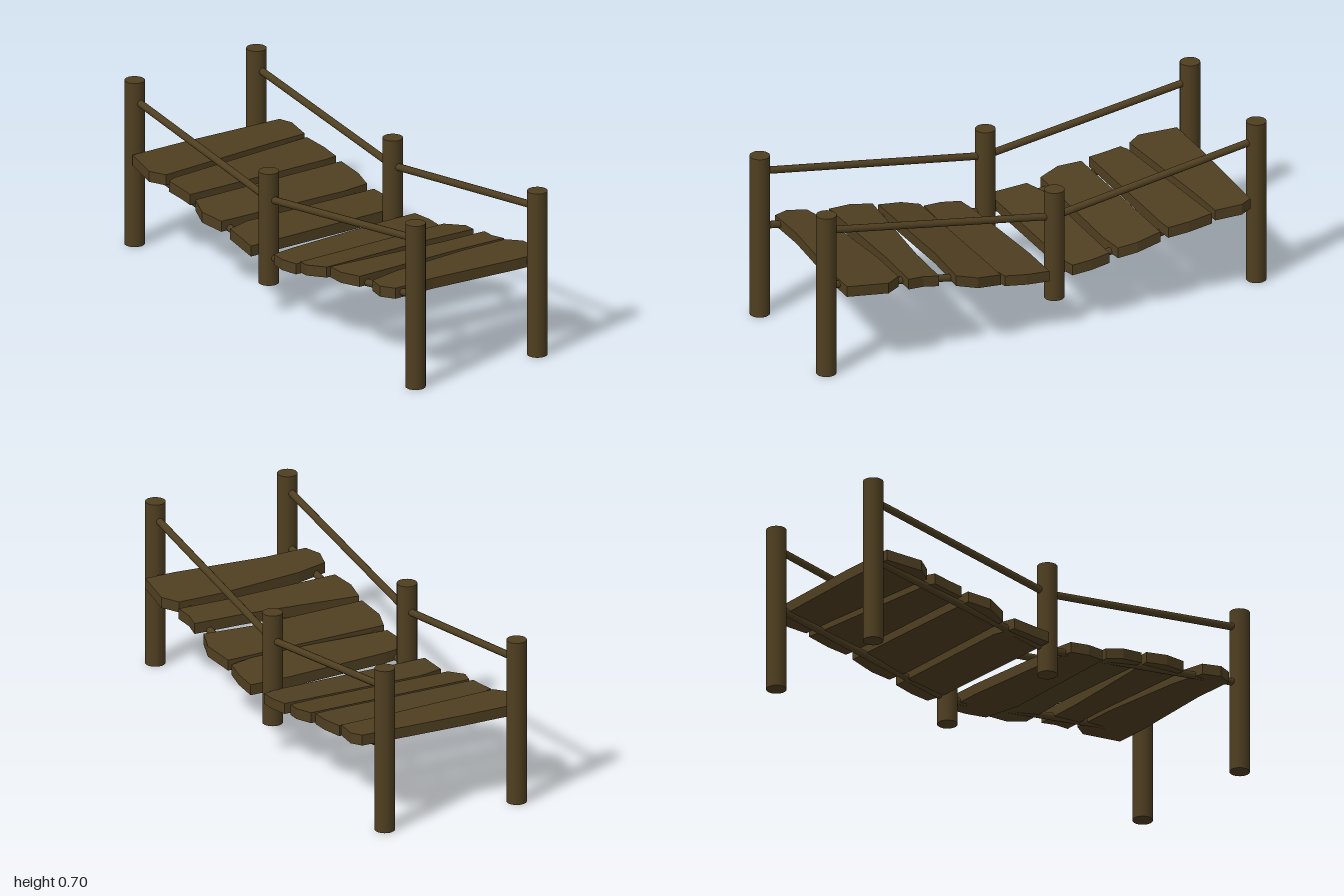
import * as THREE from 'three';

const wood = new THREE.MeshStandardMaterial({ color: 0x4f3f21, roughness: 0.9 });

// Post positions, left to right, for the back and front rows
const rows = {
  back: [[-0.96, -0.28], [-0.055, -0.305], [0.95, -0.30]],
  front: [[-0.955, 0.317], [-0.045, 0.306], [0.956, 0.298]],
};

// Planks: outline as [x, z] corners, then top height at the left and right edge
const planks = [
  { top: [0.4, 0.382], outline: [[-0.9, -0.35], [-0.85, -0.375], [-0.74, -0.36], [-0.735, -0.2], [-0.7, 0.345], [-0.76, 0.385], [-0.915, 0.355], [-0.915, 0.1]] },
  { top: [0.375, 0.355], outline: [[-0.725, -0.36], [-0.62, -0.37], [-0.53, -0.365], [-0.525, -0.3], [-0.525, 0.35], [-0.59, 0.35], [-0.665, 0.355], [-0.68, 0.32], [-0.72, -0.28]] },
  { top: [0.345, 0.308], outline: [[-0.495, -0.365], [-0.39, -0.375], [-0.31, -0.36], [-0.3, -0.24], [-0.31, 0.35], [-0.4, 0.38], [-0.49, 0.35]] },
  { top: [0.3, 0.28], outline: [[-0.27, -0.365], [-0.185, -0.375], [-0.105, -0.37], [-0.09, -0.3], [-0.085, 0.365], [-0.25, 0.35], [-0.275, 0.25]] },
  { top: [0.28, 0.295], outline: [[0, -0.375], [0.1, -0.375], [0.19, -0.36], [0.225, -0.2], [0.205, 0.35], [0.125, 0.36], [0.045, 0.345], [0.03, 0.25], [0, -0.2]] },
  { top: [0.305, 0.345], outline: [[0.21, -0.365], [0.325, -0.395], [0.41, -0.37], [0.395, -0.15], [0.41, 0.345], [0.3, 0.365], [0.225, 0.345]] },
  { top: [0.355, 0.375], outline: [[0.485, -0.37], [0.55, -0.36], [0.62, -0.37], [0.615, -0.15], [0.63, 0.34], [0.53, 0.36], [0.435, 0.345], [0.48, -0.15]] },
  { top: [0.385, 0.402], outline: [[0.655, -0.35], [0.72, -0.395], [0.895, -0.375], [0.895, -0.24], [0.865, 0.15], [0.87, 0.335], [0.805, 0.365], [0.725, 0.345], [0.69, 0.21], [0.655, -0.15]] },
];
const thickness = 0.045;

function addMesh(parent, geometry, name) {
  const mesh = new THREE.Mesh(geometry, wood);
  mesh.name = name;
  parent.add(mesh);
  return mesh;
}

// Round pole between two points
function addPole(parent, a, b, radius, sides, name) {
  const dir = b.clone().sub(a);
  const mesh = addMesh(parent, new THREE.CylinderGeometry(radius, radius, dir.length(), sides), name);
  mesh.position.copy(a).add(b).multiplyScalar(0.5);
  mesh.quaternion.setFromUnitVectors(new THREE.Vector3(0, 1, 0), dir.normalize());
}

// Extruded outline, slanted along x so that it follows the sag of the bridge
function plankGeometry({ outline, top }) {
  const shape = new THREE.Shape(outline.map(([x, z]) => new THREE.Vector2(x, -z)));
  const geometry = new THREE.ExtrudeGeometry(shape, { depth: thickness, bevelEnabled: false });
  geometry.rotateX(-Math.PI / 2);
  geometry.computeBoundingBox();
  const { min, max } = geometry.boundingBox;
  const pos = geometry.attributes.position;
  for (let i = 0; i < pos.count; i++) {
    const t = (pos.getX(i) - min.x) / (max.x - min.x);
    pos.setY(i, pos.getY(i) - thickness + THREE.MathUtils.lerp(top[0], top[1], t));
  }
  geometry.computeVertexNormals();
  return geometry;
}

export function createModel() {
  const model = new THREE.Group();
  model.name = 'plankBridge';

  for (const [side, posts] of Object.entries(rows)) {
    // Posts: tall at the ends, short and raised in the middle
    posts.forEach(([x, z], i) => {
      const [y0, y1] = i === 1 ? [0.125, 0.602] : [0, 0.7];
      addPole(model, new THREE.Vector3(x, y0, z), new THREE.Vector3(x, y1, z), 0.041, 24, `${side}Post${i + 1}`);
    });
    // Handrails and the poles carrying the planks dip to the middle post
    const heights = { Handrail: [0.617, 0.482, 0.632], DeckPole: [0.362, 0.235, 0.39] };
    for (const [part, ys] of Object.entries(heights)) {
      const pts = posts.map(([x, z], i) => new THREE.Vector3(x, ys[i], z));
      for (let i = 0; i < 2; i++) addPole(model, pts[i], pts[i + 1], 0.015, 12, `${side}${part}${i + 1}`);
    }
  }

  // Walking deck
  const deck = new THREE.Group();
  deck.name = 'deck';
  planks.forEach((p, i) => addMesh(deck, plankGeometry(p), `plank${i + 1}`));
  model.add(deck);

  return model;
}
